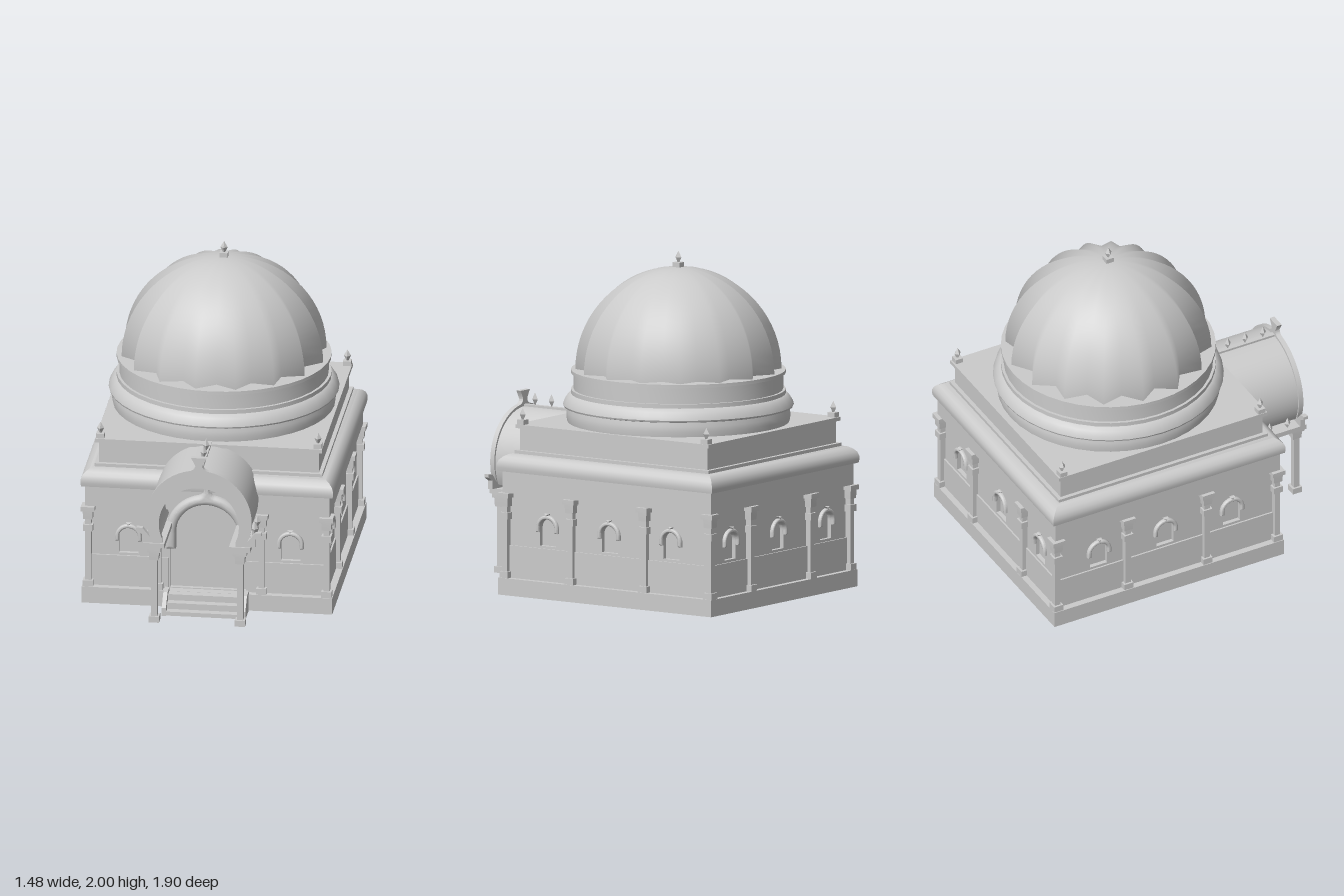
import * as THREE from 'three';
import { toCreasedNormals } from 'three/addons/utils/BufferGeometryUtils.js';

const MAT = new THREE.MeshStandardMaterial({ color: 0xcccccc });
const THIN = new THREE.MeshStandardMaterial({ color: 0xcccccc, side: THREE.DoubleSide });
const CZ = -0.182; // centre of the hall
const V = (x, y) => new THREE.Vector2(x, y);

function add(parent, name, geo, x = 0, y = 0, z = 0, mat = MAT) {
  const m = new THREE.Mesh(geo, mat);
  m.name = name;
  m.position.set(x, y, z);
  parent.add(m);
  return m;
}
function group(parent, name, x = 0, y = 0, z = 0) {
  const g = new THREE.Group();
  g.name = name;
  g.position.set(x, y, z);
  parent.add(g);
  return g;
}
// Box given by its bottom height and top height
const box = (p, name, w, d, y0, y1, x = 0, z = 0) =>
  add(p, name, new THREE.BoxGeometry(w, y1 - y0, d), x, (y0 + y1) / 2, z);

const turned = (pts, n = 40) =>
  toCreasedNormals(new THREE.LatheGeometry(pts.map(p => V(...p)), n), 0.6);

// Square-plan moulding: profile gives half widths and heights
function square(pts, zScale = 1) {
  const g = new THREE.LatheGeometry(pts.map(([r, y]) => V(r * Math.SQRT2, y)), 4);
  g.rotateY(Math.PI / 4).scale(1, 1, zScale);
  return toCreasedNormals(g, 0.6);
}

function extrude(shape, depth, bevel = 0) {
  const g = new THREE.ExtrudeGeometry(shape, {
    depth, curveSegments: 20, bevelEnabled: bevel > 0,
    bevelSize: bevel, bevelThickness: bevel, bevelOffset: -bevel, bevelSegments: 3
  });
  return toCreasedNormals(g, 0.6);
}

// Arch band with a flared finial at its crown
function archBand({ ri, ro, cy, ciy = cy, a0 = 0, foot, flare, neck, top }) {
  const s = new THREE.Shape(), a = 1.35, n = flare * 0.45, c = Math.cos(a0);
  s.moveTo(ri * c, foot);
  s.lineTo(ro * c, foot);
  s.absarc(0, cy, ro, a0, a, false);
  s.quadraticCurveTo(n, cy + ro, n, neck);
  s.lineTo(flare, top);
  s.lineTo(-flare, top);
  s.lineTo(-n, neck);
  s.quadraticCurveTo(-n, cy + ro, -ro * Math.cos(a), cy + ro * Math.sin(a));
  s.absarc(0, cy, ro, Math.PI - a, Math.PI - a0, false);
  s.lineTo(-ro * c, foot);
  s.lineTo(-ri * c, foot);
  s.absarc(0, ciy, ri, Math.PI - a0, a0, true);
  return s;
}

function archHole(x, r, y0, cy) {
  const h = new THREE.Path();
  h.moveTo(x - r, y0);
  h.lineTo(x + r, y0);
  h.absarc(x, cy, r, 0, Math.PI, false);
  h.lineTo(x - r, y0);
  return h;
}

function spike(p, x, y, z) {
  add(p, 'spike', square([[0, 0], [0.014, 0.037], [0, 0.077]]), x, y, z).rotation.y = Math.PI / 4;
}
function finial(p, x, y, z) {
  const g = group(p, 'finial', x, y, z);
  box(g, 'finialBase', 0.048, 0.048, 0, 0.028);
  add(g, 'finialTip', square([[0.004, 0.025], [0.015, 0.058], [0, 0.095]])).rotation.y = Math.PI / 4;
}

function column(p, name, x, z, y0, y1, collar) {
  const g = group(p, name, x, 0, z);
  box(g, 'base', 0.06, 0.06, y0, y0 + 0.037);
  box(g, 'shaft', 0.036, 0.036, y0, y1 - 0.05);
  if (collar) box(g, 'collar', 0.058, 0.058, y1 - 0.155, y1 - 0.115);
  add(g, 'capital', square([[0.018, y1 - 0.08], [0.027, y1 - 0.08], [0.03, y1 - 0.028],
    [0.04, y1 - 0.028], [0.04, y1], [0, y1]]));
}

// One side of the hall, built facing +z
function wall(p, name, half, dist, angle, windows, cols, door) {
  const g = group(p, name, 0, 0, CZ);
  g.rotation.y = angle;
  const s = new THREE.Shape([V(-half, 0.09), V(half, 0.09), V(half, 0.61), V(-half, 0.61)]);
  for (const x of windows) s.holes.push(archHole(x, 0.057, 0.305, 0.41));
  if (door) s.holes.push(archHole(0, 0.222, 0.105, 0.46));
  add(g, 'wallPanel', extrude(s, 0.04), 0, 0, dist - 0.04);
  for (const x of windows) {
    add(g, 'windowArch', extrude(archBand({ ri: 0.055, ro: 0.078, cy: 0.41, foot: 0.385,
      flare: 0.016, neck: 0.488, top: 0.498 }), 0.012, 0.009), x, 0, dist);
  }
  // Dado, split around the door
  if (door) {
    for (const k of [-1, 1]) box(g, 'dado', half - 0.23, 0.02, 0.09, 0.29, k * (half + 0.23) / 2, dist);
    add(g, 'doorArch', extrude(archBand({ ri: 0.183, ro: 0.243, cy: 0.465, foot: 0.365,
      flare: 0.036, neck: 0.765, top: 0.805 }), 0.03, 0.025), 0, 0, dist + 0.015);
  } else box(g, 'dado', half * 2, 0.02, 0.09, 0.29, 0, dist);
  for (const x of cols) column(g, 'wallColumn', x, dist + 0.015, 0.1, 0.6, true);
}

function porch(p) {
  const g = group(p, 'porch');
  // Barrel vault
  const vault = new THREE.Shape();
  vault.absarc(0, 0.69, 0.3, -0.45, Math.PI + 0.45, false);
  vault.absarc(0, 0.67, 0.25, Math.PI + 0.42, -0.42, true);
  add(g, 'vault', extrude(vault, 0.47), 0, 0, 0.45, THIN);
  box(g, 'ridge', 0.03, 0.46, 0.975, 1.002, 0, 0.68);
  add(g, 'frontArch', extrude(archBand({ ri: 0.235, ro: 0.31, cy: 0.695, ciy: 0.66, a0: -0.4,
    foot: 0.54, flare: 0.046, neck: 1.035, top: 1.083 }), 0.03), 0, 0, 0.908);
  for (const k of [-1, 1]) {
    const foot = [[0.24, 0.54], [0.33, 0.54], [0.33, 0.59], [0.368, 0.612], [0.368, 0.632], [0.33, 0.628], [0.29, 0.58]];
    if (k < 0) foot.reverse();
    add(g, 'archFoot', extrude(new THREE.Shape(foot.map(([x, y]) => V(k * x, y))), 0.03), 0, 0, 0.908);
    const cx = k * 0.252 - 0.012;
    box(g, 'beam', 0.125, 0.42, 0.51, 0.54, cx, 0.738);
    column(g, 'porchColumn', cx, 0.908, 0.04, 0.51, false);
    for (const z of [0.605, 0.72, 0.838]) spike(g, k * 0.3, 0.535, z);
  }
  for (const z of [0.605, 0.72, 0.838]) spike(g, 0, 0.998, z);
}

// Open-backed treads and risers between two curbs
function stairs(p) {
  const g = group(p, 'stairs');
  for (let i = 0; i < 3; i++) {
    const top = 0.025 + i * 0.037, front = 0.72 - i * 0.045;
    box(g, 'tread', 0.45, 0.055, top - 0.008, top, 0, front - 0.0275);
    box(g, 'riser', 0.45, 0.008, Math.max(0, top - 0.037), top, 0, front - 0.004);
  }
  const curb = new THREE.Shape([V(0.57, 0), V(0.73, 0), V(0.73, 0.05), V(0.655, 0.12), V(0.57, 0.12)]);
  for (const k of [-1, 1]) {
    add(g, 'curb', extrude(curb, 0.025).rotateY(-Math.PI / 2), k * 0.233 + 0.0125);
  }
}

function dome(p) {
  const g = group(p, 'dome', 0, 0, CZ - 0.003);
  add(g, 'drum', turned([[0.645, 0.99], [0.652, 1.03], [0.65, 1.06], [0.645, 1.085], [0.668, 1.09], [0.672, 1.1],
    [0.666, 1.12], [0.65, 1.145], [0.632, 1.163], [0.626, 1.165], [0.626, 1.19], [0.61, 1.19], [0.61, 1.285],
    [0.626, 1.285], [0.626, 1.305], [0, 1.305]]));
  // Half sphere pleated into sixteen soft ribs; the round normals are kept
  const geo = new THREE.SphereGeometry(0.6, 32, 18, 0, Math.PI * 2, 0, Math.PI / 2);
  const pos = geo.attributes.position;
  for (let i = 0; i < pos.count; i++) {
    const k = (i % 33) % 2 ? 0.86 : 1;
    pos.setXYZ(i, pos.getX(i) * k, pos.getY(i), pos.getZ(i) * k);
  }
  add(g, 'ribbedDome', geo, 0, 1.305, 0, THIN).rotation.y = -0.15;
  finial(g, 0, 1.905, 0);
}

export function createModel() {
  const model = new THREE.Group();
  model.name = 'domedShrine';

  // Plinth with a recessed underside, and the solid core of the hall
  const rim = new THREE.Shape([V(-0.735, -0.76), V(0.735, -0.76), V(0.735, 0.76), V(-0.735, 0.76)]);
  rim.holes.push(new THREE.Path([V(-0.725, -0.75), V(-0.725, 0.75), V(0.725, 0.75), V(0.725, -0.75)]));
  add(model, 'plinth', extrude(rim, 0.1).rotateX(-Math.PI / 2), 0, 0, CZ + 0.002);
  box(model, 'floor', 1.46, 1.51, 0.08, 0.0995, 0, CZ + 0.002);
  box(model, 'core', 1.32, 1.374, 0.09, 0.62, 0, CZ);

  // Walls with windows and columns
  const q = Math.PI / 2, side = [-0.44, 0, 0.44];
  wall(model, 'frontWall', 0.685, 0.712, 0, [-0.465, 0.485], [-0.29, 0.318], true);
  wall(model, 'backWall', 0.685, 0.712, 2 * q, [-0.48, 0, 0.48], [-0.3, 0.3], false);
  wall(model, 'leftWall', 0.712, 0.685, q, side, [-0.262, 0.262], false);
  wall(model, 'rightWall', 0.712, 0.685, -q, side, [-0.262, 0.262], false);

  // Entablature, curved eave, upper tier and roof slab
  add(model, 'eaveAndRoof', square([[0.66, 0.6], [0.718, 0.6], [0.718, 0.728], [0.738, 0.728], [0.742, 0.75],
    [0.741, 0.77], [0.733, 0.793], [0.715, 0.812], [0.692, 0.826], [0.668, 0.829], [0.668, 0.848], [0.645, 0.848],
    [0.645, 0.978], [0.665, 0.978], [0.665, 1.0], [0, 1.0]], 1.036), 0, 0, CZ);

  for (const x of [-1, 1]) for (const z of [-1, 1]) {
    column(model, 'cornerColumn', x * 0.7, CZ + z * 0.727, 0.1, 0.6, true);
    finial(model, x * 0.638, 1, CZ + z * 0.655);
  }

  dome(model);
  porch(model);
  stairs(model);
  return model;
}
